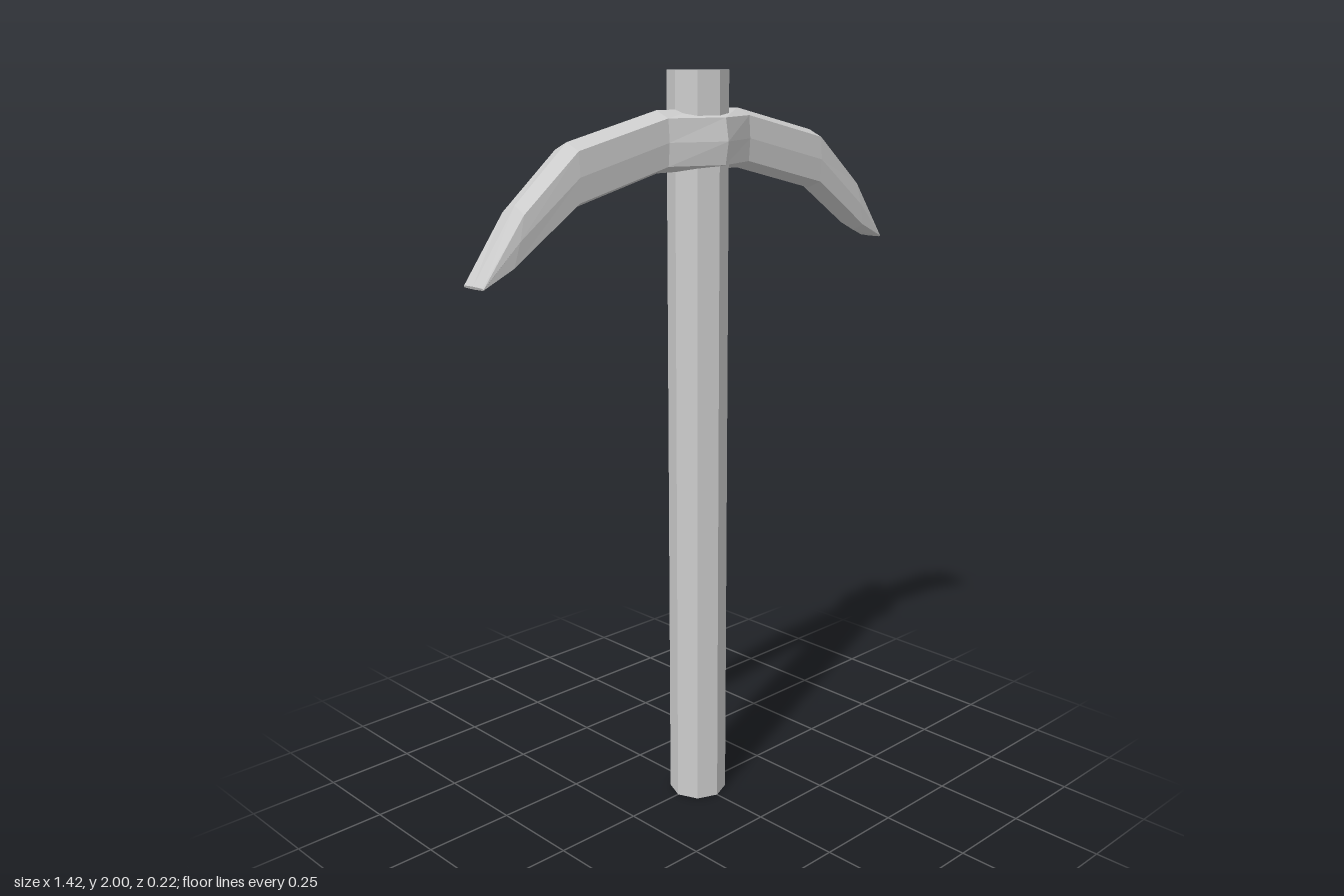
import * as THREE from 'three';

const material = new THREE.MeshStandardMaterial({ color: 0xcccccc, flatShading: true });

// Half of the head, eye to tip: upper ridge x, y; lower ridge x, y; half thickness in z
const half = [
  [0, 1.905, 0, 1.752, 0.11],
  [0.143, 1.905, 0.143, 1.752, 0.048],
  [0.428, 1.84, 0.428, 1.682, 0.048],
  [0.585, 1.705, 0.628, 1.549, 0.045],
  [0.71, 1.532, 0.707, 1.525, 0.038],
];

// Eight-sided cross-section: [fraction from upper to lower ridge, fraction of half thickness]
const section = [
  [0, 0], [0.12, 0.91], [0.5, 1], [0.88, 0.91],
  [1, 0], [0.88, -0.91], [0.5, -1], [0.12, -0.91],
];

function headGeometry() {
  const mirrored = half.slice(1).reverse().map(([a, b, c, d, w]) => [-a, b, -c, d, w]);
  const stations = [...mirrored, ...half];
  const n = section.length;
  const positions = [];
  const index = [];
  for (const [ux, uy, lx, ly, w] of stations) {
    for (const [t, k] of section) {
      positions.push(ux + (lx - ux) * t, uy + (ly - uy) * t, w * k);
    }
  }
  // Skin between neighbouring sections
  for (let s = 0; s < stations.length - 1; s++) {
    for (let i = 0; i < n; i++) {
      const a = s * n + i;
      const b = s * n + (i + 1) % n;
      index.push(a, b, a + n, b, b + n, a + n);
    }
  }
  // Blunt tip caps
  const last = (stations.length - 1) * n;
  for (let i = 1; i < n - 1; i++) {
    index.push(0, i + 1, i, last, last + i, last + i + 1);
  }
  const geometry = new THREE.BufferGeometry();
  geometry.setAttribute('position', new THREE.Float32BufferAttribute(positions, 3));
  geometry.setIndex(index);
  const flat = geometry.toNonIndexed();
  flat.computeVertexNormals();
  return flat;
}

export function createModel() {
  const group = new THREE.Group();
  group.name = 'pickaxe';

  // Octagonal shaft
  const handle = new THREE.Mesh(new THREE.CylinderGeometry(0.079, 0.079, 2, 8), material);
  handle.name = 'handle';
  handle.position.y = 1;
  group.add(handle);

  // Curved double-pointed head, swollen around the shaft
  const head = new THREE.Mesh(headGeometry(), material);
  head.name = 'pickHead';
  group.add(head);

  return group;
}
